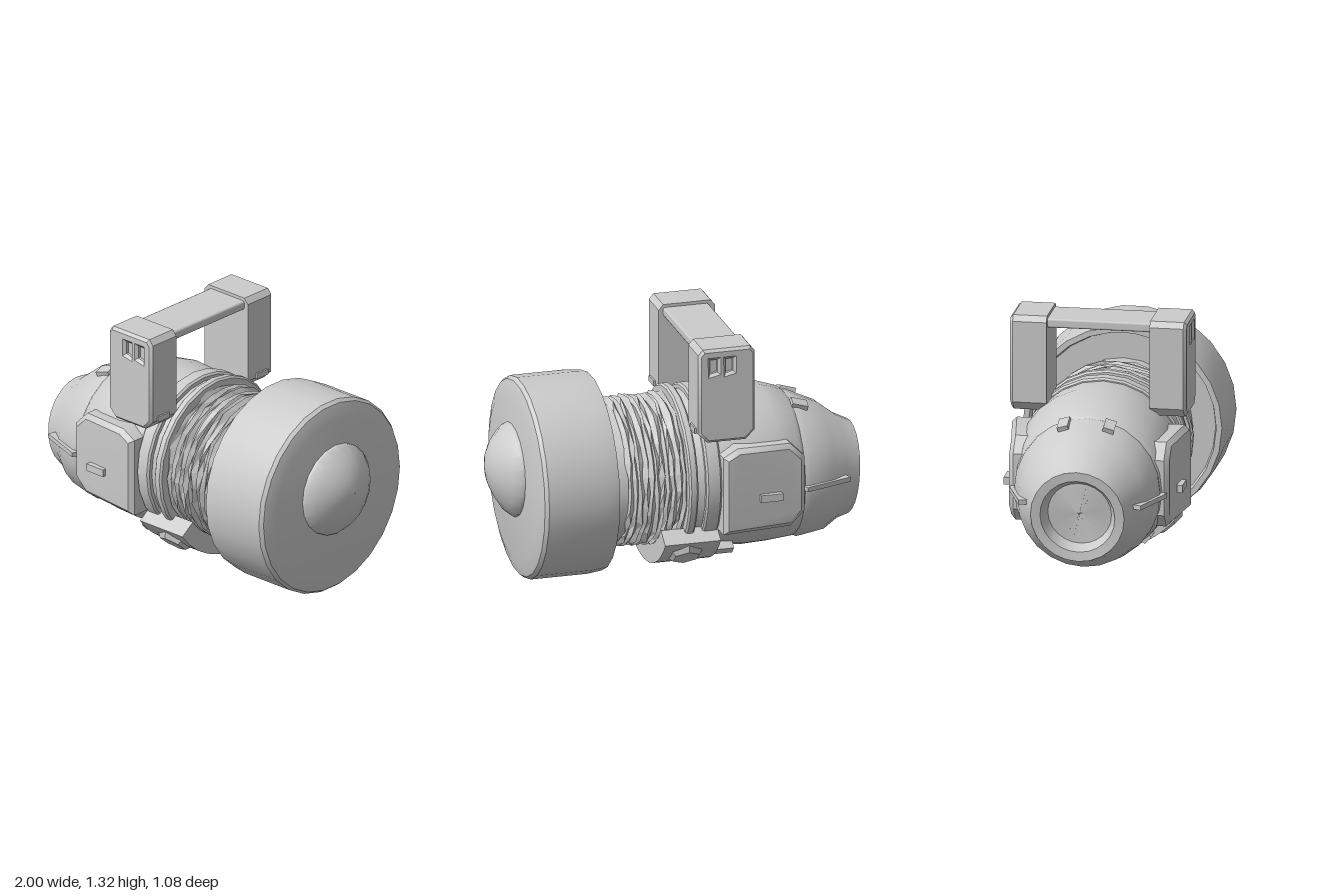
import * as THREE from 'three';
import { toCreasedNormals } from 'three/addons/utils/BufferGeometryUtils.js';
import { RoundedBoxGeometry } from 'three/addons/geometries/RoundedBoxGeometry.js';

const smooth = new THREE.MeshStandardMaterial({ color: 0xcccccc });
const faceted = new THREE.MeshStandardMaterial({ color: 0xcccccc, flatShading: true });

let seed = 7;
const jitter = (a) => {
  seed = (seed * 16807) % 2147483647;
  return (seed / 2147483647 - 0.5) * 2 * a;
};

// Surface through circular rings [x, centreY, radius, tilt] along x, listed tail to front.
function loft(rings, seg = 24, noise = 0) {
  const pos = [], idx = [];
  rings.forEach(([x, cy, r, tilt = 0]) => {
    for (let j = 0; j < seg; j++) {
      const a = (j / seg) * Math.PI * 2;
      const rr = r + jitter(noise);
      pos.push(x - tilt * Math.sin(a) + jitter(noise), cy + rr * Math.sin(a), rr * Math.cos(a));
    }
  });
  for (let i = 0; i < rings.length - 1; i++) {
    for (let j = 0; j < seg; j++) {
      const k = (j + 1) % seg;
      const a = i * seg + j, b = i * seg + k, c = a + seg, d = b + seg;
      idx.push(a, c, d, a, d, b);
    }
  }
  const g = new THREE.BufferGeometry();
  g.setAttribute('position', new THREE.Float32BufferAttribute(pos, 3));
  g.setIndex(idx);
  return toCreasedNormals(g, 0.6);
}

// Copy reflected in z, with the winding restored.
function mirrorZ(geometry) {
  const src = geometry.index ? geometry.toNonIndexed() : geometry;
  const p = src.attributes.position, pos = [];
  for (let i = 0; i < p.count; i += 3) {
    for (const k of [i, i + 2, i + 1]) pos.push(p.getX(k), p.getY(k), -p.getZ(k));
  }
  const g = new THREE.BufferGeometry();
  g.setAttribute('position', new THREE.Float32BufferAttribute(pos, 3));
  return toCreasedNormals(g, 0.6);
}

const polygon = (pts) => new THREE.Shape(pts.map(([x, y]) => new THREE.Vector2(x, y)));

// Polygon in x-y extruded from z0 to z1 with a small bevel.
function slab(shape, z0, z1, bevel = 0.02) {
  const g = new THREE.ExtrudeGeometry(shape, {
    depth: z1 - z0 - 2 * bevel, bevelEnabled: bevel > 0, bevelThickness: bevel,
    bevelSize: bevel, bevelOffset: -bevel, bevelSegments: 1,
  });
  return g.translate(0, 0, z0 + bevel);
}

export function createModel() {
  const model = new THREE.Group();
  const add = (name, geometry, material = smooth) => {
    const mesh = new THREE.Mesh(geometry, material);
    mesh.name = name;
    model.add(mesh);
    return mesh;
  };
  const addPair = (name, geometry) => {
    add(name + 'Front', toCreasedNormals(geometry, 0.6));
    add(name + 'Back', mirrorZ(geometry));
  };

  // Bulging tail and body, starting inside the recessed tail opening
  add('body', loft([
    [-0.9, 0.43, 0.001, 0.025], [-0.9, 0.43, 0.17, 0.025], [-0.97, 0.43, 0.2, 0.025],
    [-0.975, 0.43, 0.25, 0.025], [-0.9, 0.44, 0.28, 0.02], [-0.81, 0.455, 0.345, 0.01],
    [-0.67, 0.48, 0.39], [-0.64, 0.49, 0.385], [-0.62, 0.495, 0.4], [-0.5, 0.51, 0.425],
    [-0.35, 0.52, 0.44], [-0.18, 0.525, 0.425], [-0.06, 0.53, 0.4], [0, 0.53, 0.37], [0.5, 0.53, 0.37],
  ]));

  // Strap rings around the middle
  for (const [x0, x1, r] of [[-0.17, -0.085, 0.435], [-0.04, 0.01, 0.44]]) {
    add('strapRing', loft([
      [x0, 0.53, 0.36], [x0, 0.53, r - 0.01], [x0 + 0.01, 0.53, r],
      [x1 - 0.01, 0.53, r], [x1, 0.53, r - 0.01], [x1, 0.53, 0.36],
    ]));
  }

  // Crumpled bellows
  const folds = [];
  for (let i = 0; i <= 22; i++) {
    folds.push([0.005 + i * 0.0148, 0.53, i % 2 ? 0.4 : 0.378, 0.008 * Math.sin(i)]);
  }
  add('bellows', loft(folds, 28, 0.008), faceted);

  // Lamp head with a recessed back
  add('head', loft([
    [0.46, 0.55, 0.34], [0.46, 0.55, 0.49], [0.42, 0.55, 0.5], [0.42, 0.55, 0.53],
    [0.5, 0.55, 0.54], [0.81, 0.55, 0.54], [0.83, 0.55, 0.525], [0.853, 0.55, 0.45], [0.86, 0.55, 0.001],
  ], 26));
  add('lens', loft([
    [0.84, 0.6, 0.255], [0.87, 0.6, 0.25], [0.91, 0.6, 0.215], [0.95, 0.61, 0.16],
    [0.98, 0.615, 0.1], [0.995, 0.62, 0.045], [1, 0.62, 0.001],
  ], 20));

  // Side pads, thinner towards the tail
  const pad = slab(polygon([
    [-0.63, 0.36], [-0.55, 0.28], [-0.17, 0.28], [-0.17, 0.71],
    [-0.25, 0.755], [-0.55, 0.74], [-0.63, 0.66],
  ]), 0.26, 0.472, 0.025);
  const p = pad.attributes.position;
  for (let i = 0; i < p.count; i++) {
    if (p.getX(i) < -0.5) p.setZ(i, p.getZ(i) - 0.045);
  }
  addPair('sidePad', pad);
  addPair('padLatch', new THREE.BoxGeometry(0.12, 0.04, 0.03).translate(-0.43, 0.47, 0.462));

  // Tail seams, studs and lower catches
  addPair('tailSeam', new THREE.BoxGeometry(0.28, 0.025, 0.05).rotateY(-0.35).translate(-0.765, 0.475, 0.35));
  addPair('stud', new THREE.BoxGeometry(0.09, 0.035, 0.06).rotateX(0.3).rotateZ(0.3).translate(-0.68, 0.845, 0.12));
  addPair('lowerCatch', new THREE.BoxGeometry(0.1, 0.05, 0.06).rotateX(0.75).translate(-0.23, 0.14, 0.235));

  // Handle legs: solid core plus an outer plate with two slots
  const legOutline = () => polygon([
    [-0.34, 0.86], [-0.29, 0.81], [-0.08, 0.81], [-0.03, 0.86],
    [-0.03, 1.3], [-0.055, 1.33], [-0.315, 1.33], [-0.34, 1.3],
  ]);
  const plate = legOutline();
  for (const x of [-0.22, -0.135]) {
    plate.holes.push(new THREE.Path([
      [x, 1.2], [x + 0.04, 1.19], [x + 0.04, 1.27], [x, 1.27],
    ].map(([u, v]) => new THREE.Vector2(u, v))));
  }
  addPair('handleLeg', slab(legOutline(), 0.275, 0.44, 0));
  const outer = new THREE.ExtrudeGeometry(plate, {
    depth: 0.015, bevelThickness: 0.015, bevelSize: 0.015, bevelOffset: -0.015, bevelSegments: 1,
  }).translate(0, 0, 0.44);
  addPair('handleLegPlate', outer);
  addPair('legClip', new THREE.BoxGeometry(0.02, 0.03, 0.09).translate(-0.03, 0.87, 0.38));

  // Handle bar
  add('handleBar', new RoundedBoxGeometry(0.25, 0.05, 0.6, 1, 0.012).translate(-0.18, 1.288, 0));

  // Curved foot clamp under the body, with hexagonal bolts
  const arc = new THREE.Shape();
  arc.absarc(0, 0, 0.5, Math.PI * 1.2, Math.PI * 1.8, false);
  arc.absarc(0, 0, 0.4, Math.PI * 1.8, Math.PI * 1.2, true);
  const foot = new THREE.ExtrudeGeometry(arc, { depth: 0.305, bevelEnabled: false, curveSegments: 10 });
  add('footClamp', toCreasedNormals(foot.rotateY(Math.PI / 2).translate(-0.17, 0.53, 0), 0.6));
  const bolt = new THREE.CylinderGeometry(0.075, 0.1, 0.03, 6)
    .translate(0, 0.505, 0).rotateX(Math.PI / 2 + 0.87).translate(0, 0.53, 0);
  addPair('footBolt', bolt);

  return model;
}
